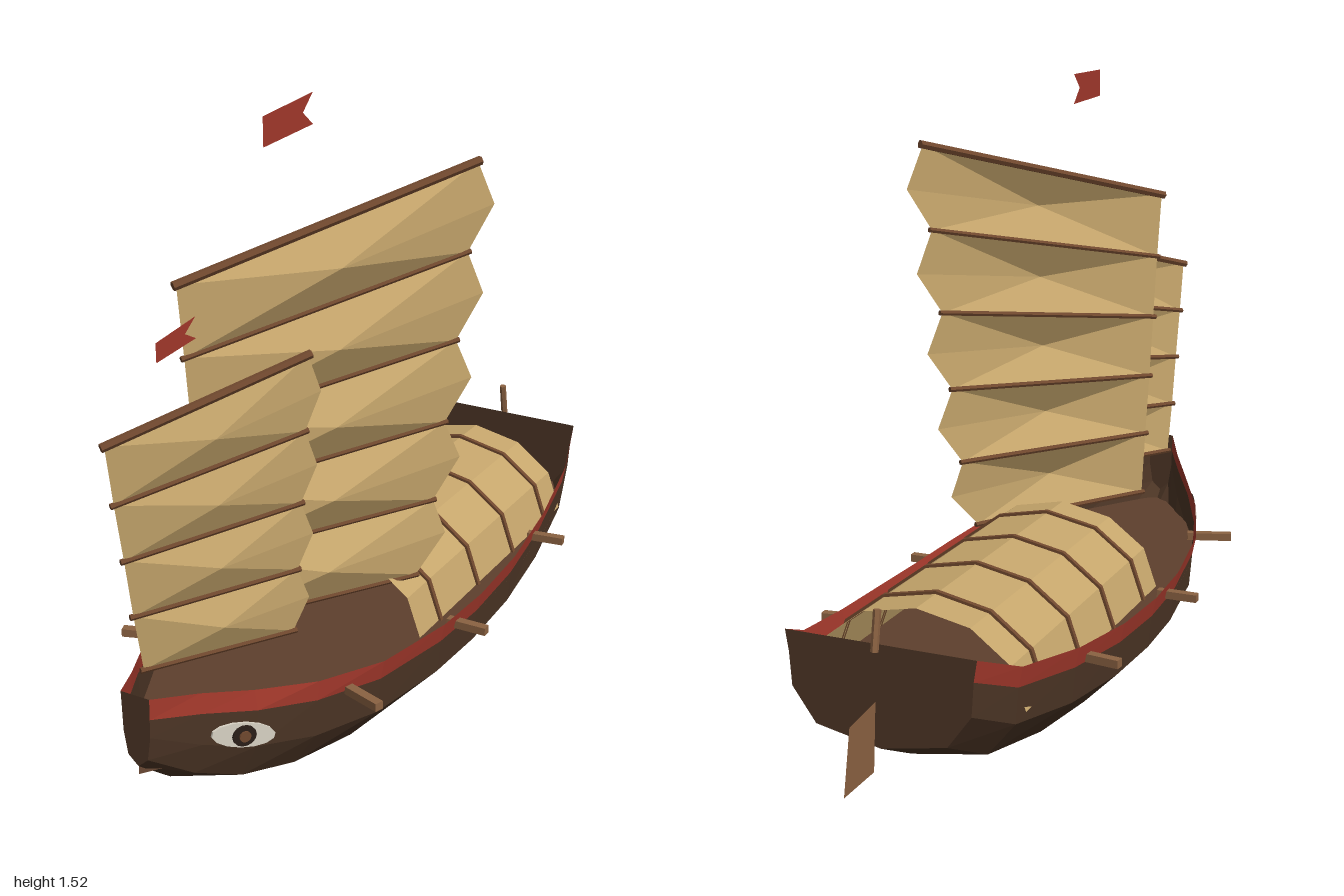
import * as THREE from 'three';

const mat = (name, color) => new THREE.MeshStandardMaterial({ name, color, flatShading: true, side: THREE.DoubleSide });
const V = (x, y, z) => new THREE.Vector3(x, y, z);

// Hull stations: z, half width, sheer height, keel height, bow fullness
const STATIONS = [
  [1, 0.037, 0.385, 0.21, 1], [0.89, 0.09, 0.358, 0.12, 1.08], [0.775, 0.155, 0.325, 0.06, 1.08],
  [0.63, 0.232, 0.293, 0.025, 1.02], [0.44, 0.296, 0.266, 0.006, 1], [0.19, 0.328, 0.25, 0, 1],
  [0, 0.335, 0.247, 0, 1], [-0.215, 0.33, 0.256, 0.005, 1], [-0.45, 0.307, 0.278, 0.022, 1],
  [-0.69, 0.27, 0.318, 0.065, 1], [-0.835, 0.23, 0.38, 0.14, 1],
];

// Half section from keel to rim as [x, y]
function section([, w, s, k, f]) {
  const h = s - k;
  return [[0, k], [0.69 * w * f, k + 0.13 * h], [0.94 * w * f, k + 0.46 * h], [0.965 * w * f, s - 0.05], [w, s]];
}

// Half width of the hull at a given height
function widthAt(station, y) {
  const p = section(station);
  if (y <= p[0][1]) return 0;
  for (let i = 1; i < p.length; i++) {
    const [x0, y0] = p[i - 1], [x1, y1] = p[i];
    if (y <= y1) return x0 + (x1 - x0) * (y - y0) / (y1 - y0);
  }
  return station[1];
}

function fromTriangles(points) {
  const g = new THREE.BufferGeometry().setFromPoints(points);
  g.computeVertexNormals();
  return g;
}

// Surface between successive rows of points
function loft(rows) {
  const t = [];
  for (let i = 0; i + 1 < rows.length; i++) {
    for (let j = 0; j + 1 < rows[i].length; j++) {
      const a = rows[i][j], b = rows[i][j + 1], c = rows[i + 1][j + 1], d = rows[i + 1][j];
      t.push(a, b, c, a, c, d);
    }
  }
  return fromTriangles(t);
}

export function createModel() {
  const model = new THREE.Group();
  const hullWood = mat('darkHullWood', 0x4c3525);
  const deckWood = mat('deckWood', 0x5e402d);
  const red = mat('redPaint', 0xa5392c);
  const cloth = mat('tanCloth', 0xc6a66c);
  const spar = mat('sparWood', 0x70482e);
  const wood = mat('lightWood', 0x8b6242);
  const white = mat('eyeWhite', 0xd8d2c4);
  const black = mat('pupilDark', 0x2a1e18);

  const add = (name, geometry, material, parent = model) => {
    const m = new THREE.Mesh(geometry, material);
    m.name = name;
    parent.add(m);
    return m;
  };
  const rod = (name, a, b, r, material, parent = model, sides = 6) => {
    const m = add(name, new THREE.CylinderGeometry(r, r, a.distanceTo(b), sides), material, parent);
    m.position.copy(a).lerp(b, 0.5);
    m.quaternion.setFromUnitVectors(V(0, 1, 0), b.clone().sub(a).normalize());
    return m;
  };

  // Hull planking below, red gunwale strake on top
  for (const s of [1, -1]) {
    const rows = STATIONS.map(st => {
      const r = section(st).map(([x, y]) => V(s * x, y, st[0]));
      return s > 0 ? r : r.reverse();
    });
    const side = s > 0 ? 'left' : 'right';
    add(side + 'Hull', loft(rows.map(r => s > 0 ? r.slice(0, 4) : r.slice(1))), hullWood);
    add(side + 'Gunwale', loft(rows.map(r => s > 0 ? r.slice(3) : r.slice(0, 2))), red);
  }

  // Flat stem and transom closing the ends
  for (const [name, st, d] of [['stem', STATIONS[0], 1], ['transom', STATIONS.at(-1), -1]]) {
    const rows = section(st).map(([x, y]) => [V(-d * x, y, st[0]), V(d * x, y, st[0])]);
    add(name, loft(rows), hullWood);
  }

  // Deck
  const DECK = 0.19;
  add('deck', loft(STATIONS.map(st => {
    const w = widthAt(st, DECK);
    return [V(-w, DECK, st[0]), V(w, DECK, st[0])];
  })), deckWood);

  // Arched cabin canopy with hoops
  const arch = (rx, ry, z) => Array.from({ length: 7 }, (_, i) => {
    const a = Math.PI * i / 6;
    return V(rx * Math.cos(a), 0.2 + ry * Math.sin(a), z);
  });
  add('canopy', loft([arch(0.265, 0.2, 0.2), arch(0.265, 0.2, -0.66)]), cloth);
  for (const z of [0.092, -0.124, -0.34, -0.556]) {
    const f = z + 0.006, b = z - 0.006;
    add('canopyHoop', loft([arch(0.262, 0.197, f), arch(0.272, 0.207, f), arch(0.272, 0.207, b), arch(0.262, 0.197, b)]), spar);
  }

  // Battened sails: each panel is a six-sided fan around a bulging centre
  function sail(name, luff, leech, bulge, roach, yardRadius, battenRadius) {
    const group = new THREE.Group();
    group.name = name;
    const mid = (...p) => p.reduce((a, b) => a.add(b), V(0, 0, 0)).divideScalar(p.length);
    const t = [];
    for (let i = 0; i + 1 < luff.length; i++) {
      const along = leech[i].clone().sub(luff[i]).setY(0).normalize();
      const normal = V(-along.z, 0, along.x);
      const centre = mid(luff[i], leech[i], luff[i + 1], leech[i + 1]).addScaledVector(normal, bulge);
      const ring = [
        luff[i], luff[i + 1 - 1].clone().lerp(luff[i + 1], 0.5), luff[i + 1], leech[i + 1],
        mid(leech[i], leech[i + 1]).addScaledVector(along, roach), leech[i],
      ];
      ring.forEach((p, j) => t.push(centre, p, ring[(j + 1) % 6]));
    }
    add('sailCloth', fromTriangles(t), cloth, group);
    luff.forEach((p, i) => {
      const d = leech[i].clone().sub(p).normalize().multiplyScalar(0.008);
      rod(i ? 'batten' : 'yard', p.clone().sub(d), leech[i].clone().add(d), i ? battenRadius : yardRadius, spar, group);
    });
    model.add(group);
  }
  sail('mainSail',
    [V(-0.115, 1.17, 0.63), V(-0.108, 1.0, 0.62), V(-0.103, 0.832, 0.61), V(-0.098, 0.665, 0.6), V(-0.092, 0.5, 0.59), V(-0.085, 0.328, 0.585)],
    [V(0.288, 1.35, -0.02), V(0.276, 1.135, 0.0), V(0.262, 0.92, 0.025), V(0.248, 0.715, 0.05), V(0.232, 0.515, 0.075), V(0.215, 0.33, 0.13)],
    0.05, 0.06, 0.011, 0.007);
  sail('foreSail',
    [V(-0.073, 0.925, 0.962), V(-0.07, 0.787, 0.945), V(-0.067, 0.65, 0.925), V(-0.064, 0.51, 0.907), V(-0.06, 0.37, 0.885)],
    [V(0.178, 1.043, 0.57), V(0.168, 0.865, 0.57), V(0.156, 0.692, 0.572), V(0.146, 0.527, 0.575), V(0.136, 0.372, 0.58)],
    0.032, 0.035, 0.01, 0.007);

  // Swallow-tailed pennants
  function pennant(name, z, length, notch, y, h, drift) {
    const s = new THREE.Shape([[0, 0], [length, -0.003], [notch, h / 2], [length, h + 0.003], [0, h]].map(p => new THREE.Vector2(...p)));
    const m = add(name, new THREE.ShapeGeometry(s), red);
    m.position.set(0, y, z);
    m.rotation.y = Math.PI / 2 + Math.asin(drift / length);
  }
  pennant('mainPennant', 0.45, 0.262, 0.207, 1.447, 0.068, 0.03);
  pennant('forePennant', 0.87, 0.173, 0.125, 1.09, 0.043, 0.02);

  for (const s of [1, -1]) {
    // Painted bow eye
    const eye = new THREE.Group();
    eye.name = s > 0 ? 'leftEye' : 'rightEye';
    const disc = (name, rx, ry, z, material) => {
      const g = new THREE.CylinderGeometry(1, 1, 0.006, 14).rotateX(Math.PI / 2).scale(rx, ry, 1);
      add(name, g, material, eye).position.z = z;
    };
    disc('eyeWhite', 0.08, 0.03, 0, white);
    disc('pupil', 0.029, 0.025, 0.005, black);
    disc('iris', 0.014, 0.013, 0.009, spar);
    eye.position.set(s * 0.153, 0.237, 0.822);
    eye.rotation.set(0, s * 1.02, s * -0.3);
    model.add(eye);

    // Pegs standing out of the sides
    for (const [x0, z0, x1, z1, y] of [[0.24, 0.535, 0.355, 0.573, 0.234], [0.3, 0.115, 0.405, 0.115, 0.217], [0.29, -0.39, 0.387, -0.403, 0.234]]) {
      const peg = add('sidePeg', new THREE.BoxGeometry(Math.hypot(x1 - x0, z1 - z0), 0.02, 0.022), wood);
      peg.position.set(s * (x0 + x1) / 2, y, (z0 + z1) / 2);
      peg.rotation.y = -s * Math.atan2(z1 - z0, x1 - x0);
    }
  }

  // Rudder blade and tiller
  const blade = new THREE.Shape([[0.855, 0.257], [0.97, 0.245], [1, 0.1], [0.868, 0.1]].map(p => new THREE.Vector2(...p)));
  add('rudder', new THREE.ShapeGeometry(blade).rotateY(Math.PI / 2), wood);
  rod('tiller', V(0, 0.37, -0.855), V(0, 0.46, -0.838), 0.009, wood);

  return model;
}
